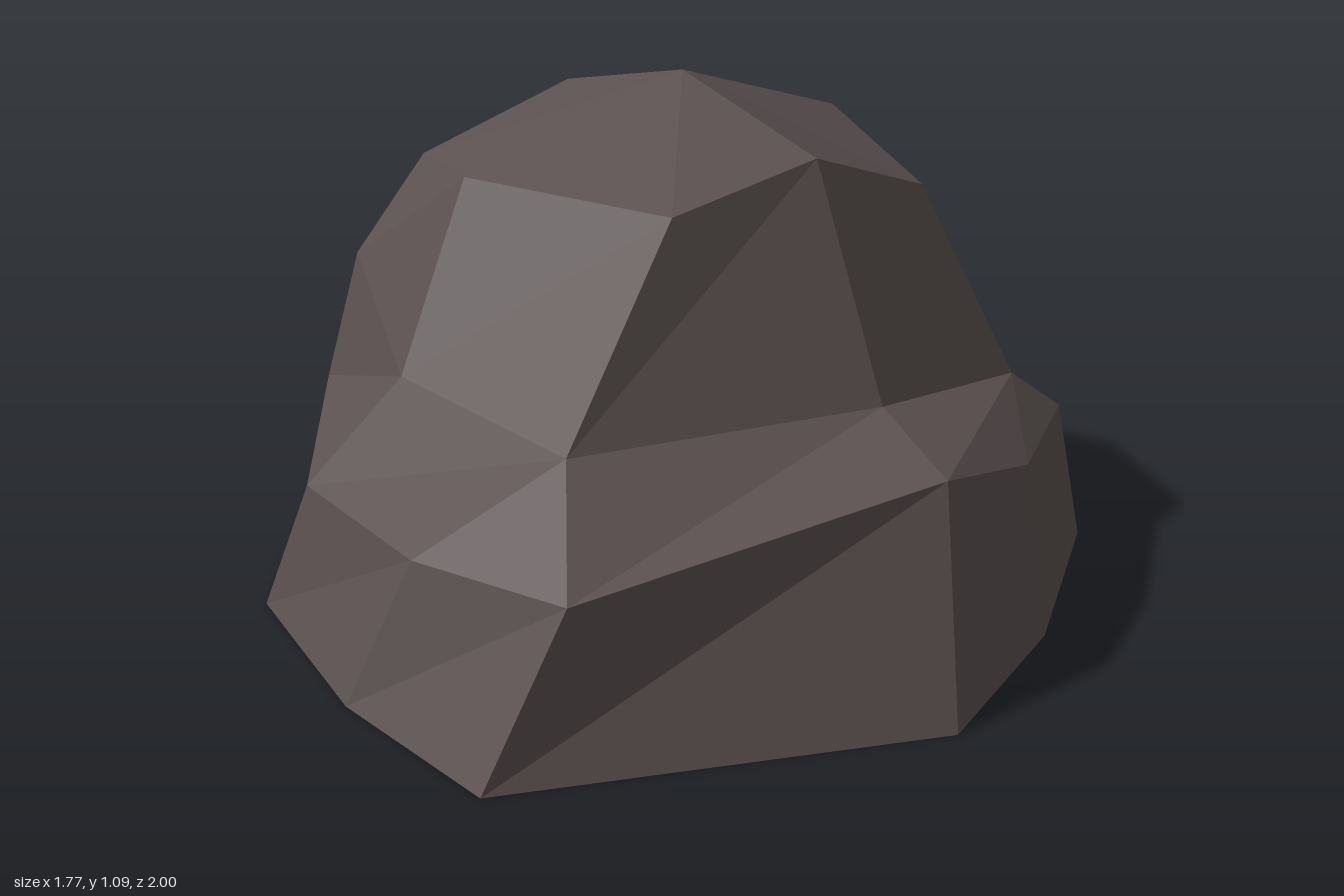
import * as THREE from 'three';

// Horizontal outlines, ten columns each, running front, +x side, back, -x side
const BASE = [[0.08, 0, 1], [0.49, 0, 0.75], [0.88, 0, 0.38], [0.76, 0, -0.2], [0.59, 0, -0.65],
  [0.08, 0, -1], [-0.55, 0, -0.67], [-0.85, 0, -0.21], [-0.89, 0, 0.3], [-0.82, 0, 0.75]];
const LEDGE_OUTER = [[0.145, 0.46, 0.85], [0.475, 0.365, 0.685], [0.8, 0.33, 0.385], [0.765, 0.36, -0.11], [0.55, 0.39, -0.53],
  [0.08, 0.63, -0.82], [-0.53, 0.34, -0.58], [-0.8, 0.315, -0.07], [-0.775, 0.32, 0.38], [-0.64, 0.345, 0.76]];
// Repeated points let two columns merge into one
const LEDGE_INNER = [[0.18, 0.515, 0.58], [0.65, 0.44, 0.4], [0.65, 0.44, 0.4], [0.655, 0.445, -0.09], [0.55, 0.39, -0.53],
  [0.08, 0.63, -0.82], [-0.49, 0.655, -0.48], [-0.62, 0.55, 0.02], [-0.51, 0.525, 0.52], [-0.51, 0.525, 0.52]];
const SHOULDER = [[0.16, 0.98, 0.355], [0.5, 0.85, 0.255], [0.5, 0.85, 0.255], [0.52, 0.94, -0.12], [0.45, 0.89, -0.345],
  [0.08, 0.96, -0.55], [-0.35, 0.876, -0.42], [-0.43, 0.925, -0.055], [-0.2, 0.92, 0.39], [-0.2, 0.92, 0.39]];
const PEAK = [0.08, 1.09, -0.04];
const BOTTOM = [0, 0, 0];

const same = (a, b) => a.every((v, i) => v === b[i]);

// Joins two outlines with faceted faces, leaving out collapsed triangles
function band(lower, upper) {
  const positions = [];
  const face = (a, b, c) => {
    if (!same(a, b) && !same(b, c) && !same(a, c)) positions.push(...a, ...b, ...c);
  };
  lower.forEach((a, i) => {
    const j = (i + 1) % lower.length;
    face(a, lower[j], upper[j]);
    face(a, upper[j], upper[i]);
  });
  const geometry = new THREE.BufferGeometry();
  geometry.setAttribute('position', new THREE.Float32BufferAttribute(positions, 3));
  geometry.computeVertexNormals();
  return geometry;
}

export function createModel() {
  const stone = new THREE.MeshStandardMaterial({ color: 0x5b5150, flatShading: true });
  stone.name = 'darkStone';

  const rock = new THREE.Group();
  rock.name = 'rock';
  const point = (p) => BASE.map(() => p);
  const parts = [
    ['underside', point(BOTTOM), BASE],
    ['lowerSides', BASE, LEDGE_OUTER],
    ['ledge', LEDGE_OUTER, LEDGE_INNER],
    ['upperSides', LEDGE_INNER, SHOULDER],
    ['crown', SHOULDER, point(PEAK)],
  ];
  for (const [name, lower, upper] of parts) {
    const mesh = new THREE.Mesh(band(lower, upper), stone);
    mesh.name = name;
    rock.add(mesh);
  }
  return rock;
}
